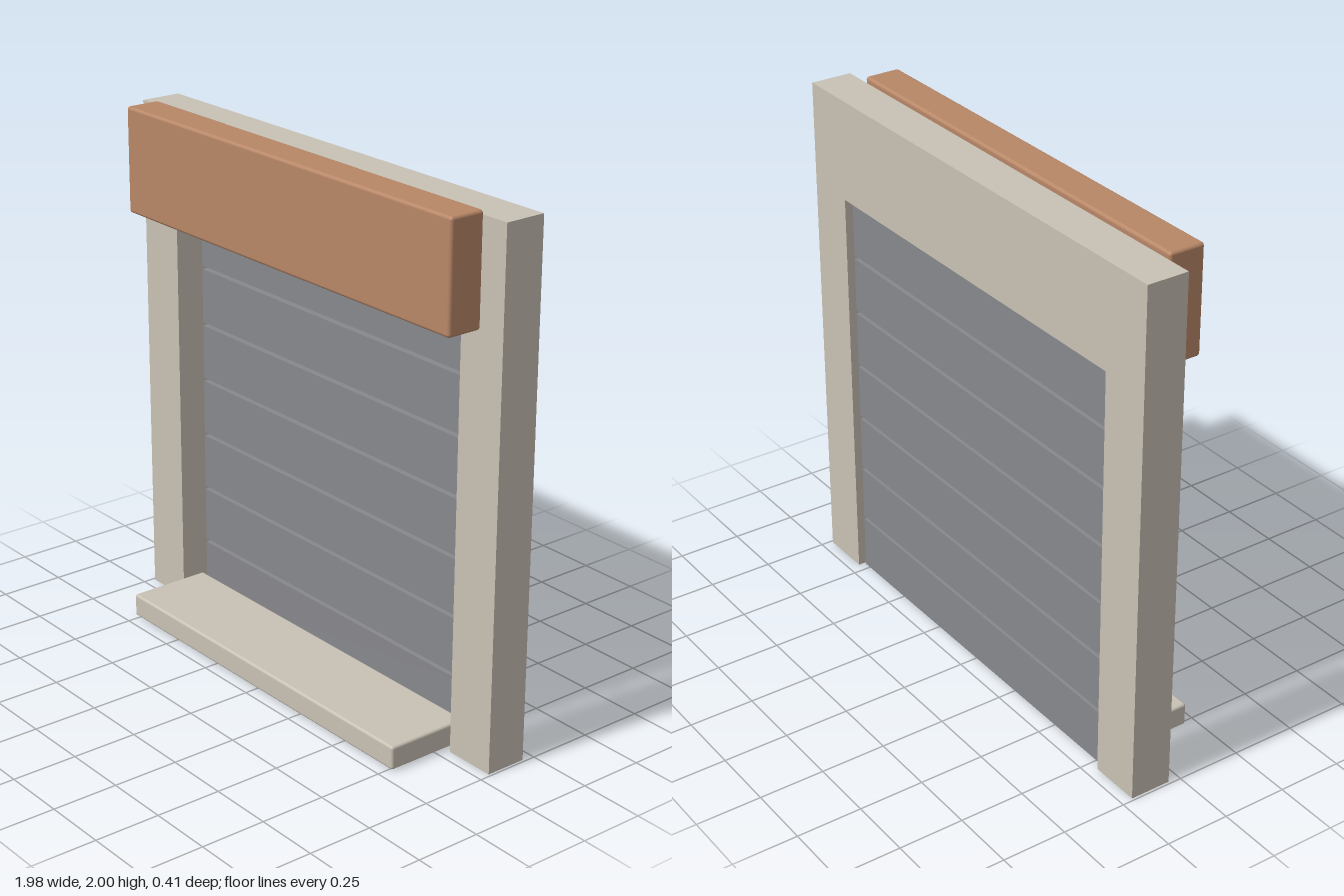
import * as THREE from 'three';
import { RoundedBoxGeometry } from 'three/addons/geometries/RoundedBoxGeometry.js';

const stone = new THREE.MeshStandardMaterial({ color: 0xc8c1b4 });
const wood = new THREE.MeshStandardMaterial({ color: 0xb88767 });
const metal = new THREE.MeshStandardMaterial({ color: 0x87888c });

export function createModel() {
  const group = new THREE.Group();

  const add = (name, geometry, material, x, y, z) => {
    const mesh = new THREE.Mesh(geometry, material);
    mesh.name = name;
    mesh.position.set(x, y, z);
    group.add(mesh);
  };

  // Surround: two jambs and a lintel in one piece, open at the bottom
  const outline = new THREE.Shape([
    [-0.99, 0], [-0.79, 0], [-0.79, 1.59], [0.79, 1.59],
    [0.79, 0], [0.99, 0], [0.99, 1.98], [-0.99, 1.98],
  ].map(([x, y]) => new THREE.Vector2(x, y)));
  add('surround', new THREE.ExtrudeGeometry(outline, { depth: 0.16, bevelEnabled: false }),
    stone, 0, 0, -0.205);

  // Shutter slats, with narrow open gaps between them
  const slatCount = 7, pitch = 0.2267;
  const slat = new THREE.BoxGeometry(1.54, 0.212, 0.04);
  for (let i = 0; i < slatCount; i++) {
    add(`shutterSlat${i + 1}`, slat, metal, 0, 0.114 + i * pitch, -0.165);
  }

  // Sign board across the lintel
  add('signBoard', new RoundedBoxGeometry(1.78, 0.405, 0.14, 2, 0.012), wood, 0, 1.7975, 0.03);

  // Projecting sill at the foot of the opening
  add('sill', new RoundedBoxGeometry(1.54, 0.09, 0.33, 2, 0.01), stone, 0, 0.05, 0.04);

  return group;
}
